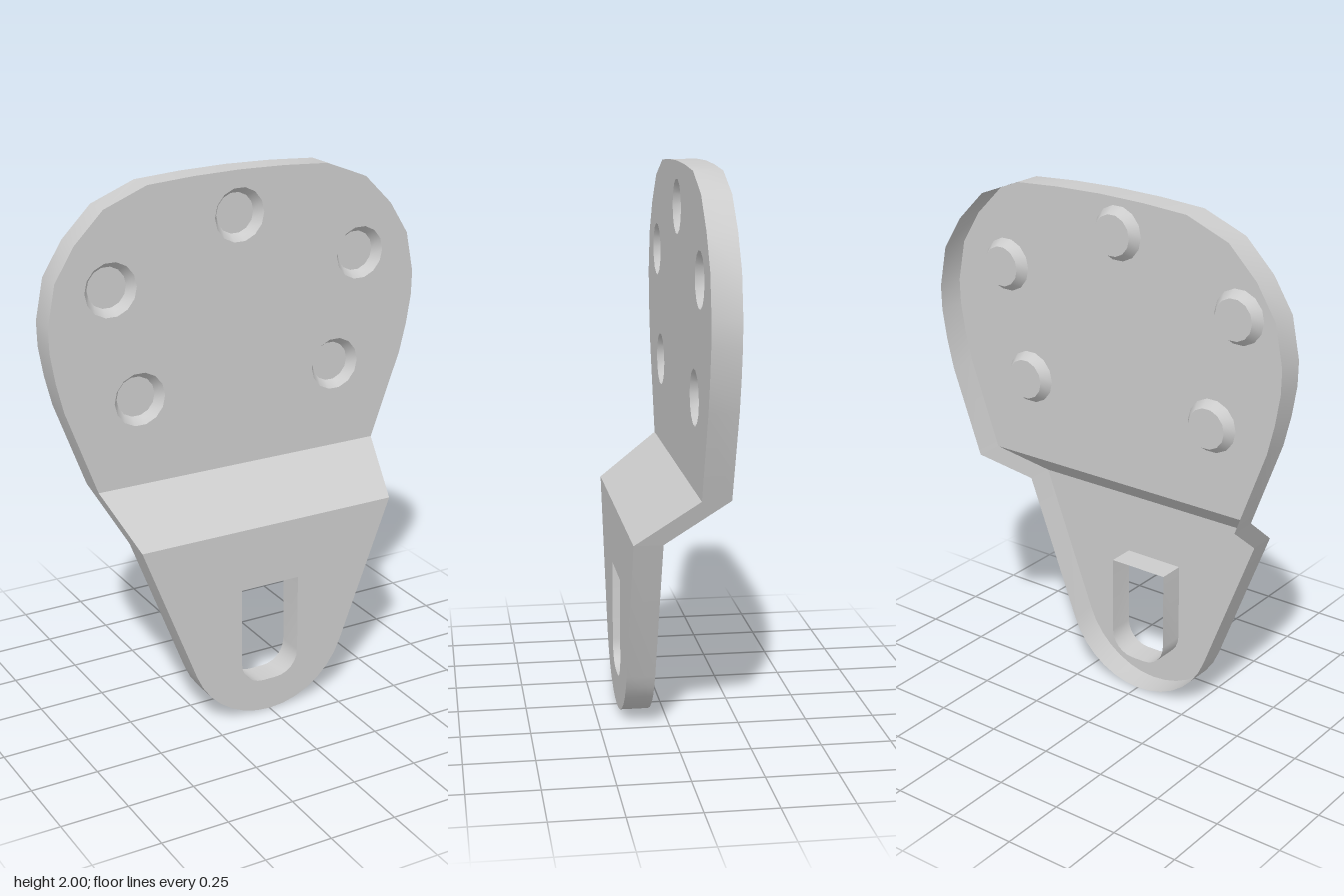
import * as THREE from 'three';
import { toCreasedNormals } from 'three/addons/utils/BufferGeometryUtils.js';

const DEPTH = 0.102, DIMPLE = 0.036, R_OUT = 0.098, R_IN = 0.074, SIDES = 14;
const LOW = 0.75, HIGH = 0.91, Z_LOW = 0.162, Z_HIGH = -0.06;

const material = new THREE.MeshStandardMaterial({ color: 0xcccccc, side: THREE.DoubleSide });
const V = (x, y) => new THREE.Vector2(x, y);

// Depth of the front sheet: two flat levels joined by a slope
const sheetZ = (y) => {
  const t = THREE.MathUtils.clamp((y - LOW) / (HIGH - LOW), 0, 1);
  return THREE.MathUtils.lerp(Z_LOW, Z_HIGH, t);
};

function arc(cx, cy, r, from, to, n) {
  return Array.from({ length: n + 1 }, (_, i) => {
    const a = THREE.MathUtils.degToRad(from + ((to - from) * i) / n);
    return V(cx + r * Math.cos(a), cy + r * Math.sin(a));
  });
}

const mirrored = (points) => points.map((p) => V(-p.x, p.y)).reverse();

export function createModel() {
  const group = new THREE.Group();
  const add = (name, geometry) => {
    const mesh = new THREE.Mesh(geometry, material);
    mesh.name = name;
    group.add(mesh);
    return mesh;
  };

  // Flat outline piece laid onto the stepped sheet
  const addSheet = (name, points, holes = []) => {
    const shape = new THREE.Shape(points);
    shape.holes = holes.map((h) => new THREE.Path(h));
    const geo = new THREE.ShapeGeometry(shape);
    const pos = geo.attributes.position;
    for (let i = 0; i < pos.count; i++) pos.setZ(i, sheetZ(pos.getY(i)));
    geo.computeVertexNormals();
    add(name, geo);
  };

  // Wall running back from the sheet along a line of points
  const addWall = (name, points) => {
    const pos = [], index = [];
    points.forEach((p, i) => {
      const z = sheetZ(p.y);
      pos.push(p.x, p.y, z, p.x, p.y, z - DEPTH);
      if (i) {
        const a = 2 * i - 2;
        index.push(a, a + 1, a + 2, a + 2, a + 1, a + 3);
      }
    });
    const geo = new THREE.BufferGeometry();
    geo.setAttribute('position', new THREE.Float32BufferAttribute(pos, 3));
    geo.setIndex(index);
    add(name, toCreasedNormals(geo, 0.7));
  };

  // Right half of the outline, from the bottom up
  const lowerSide = [...arc(0, 0.325, 0.325, -90, -20.3, 7), V(0.512, LOW)];
  const slopeSide = [V(0.512, LOW), V(0.57, HIGH)];
  const upperSide = [
    V(0.57, HIGH), V(0.688, 1.23), V(0.715, 1.34), V(0.733, 1.45), V(0.735, 1.54),
    V(0.705, 1.69), V(0.63, 1.81), V(0.52, 1.92), V(0.355, 1.985), V(0.18, 1.996), V(0, 2),
  ];
  const closed = (side) => [...side, ...mirrored(side)].filter(
    (p, i, all) => i === 0 || p.distanceTo(all[i - 1]) > 1e-5);
  const loop = (side) => {
    const pts = closed(side);
    if (pts[0].distanceTo(pts[pts.length - 1]) < 1e-5) pts.pop();
    return pts;
  };

  // Slot with a rounded lower end
  const slotSide = [...arc(0.028, 0.215, 0.09, -90, 0, 6), V(0.118, 0.515)];
  const slot = loop(slotSide);

  // Dimple centres and rims
  const centres = [[0, 1.84], [0.5, 1.64], [-0.5, 1.64], [0.4, 1.23], [-0.4, 1.23]];
  const rims = centres.map(([x, y]) => arc(x, y, R_OUT, 0, 360, SIDES).slice(0, -1));

  addSheet('lowerPlate', loop(lowerSide), [slot]);
  addSheet('slopedStep', loop(slopeSide));
  addSheet('upperPlate', loop(upperSide), rims);

  addWall('lowerRim', [...mirrored(lowerSide), ...lowerSide.slice(1)]);
  addWall('stepRim', slopeSide);
  addWall('stepRim', mirrored(slopeSide));
  addWall('upperRim', [...upperSide, ...mirrored(upperSide).slice(1)]);
  addWall('slotWall', [...slot, slot[0]]);

  // Sunken dimples: a tapered wall and a flat floor
  for (const [x, y] of centres) {
    const wall = new THREE.CylinderGeometry(R_OUT, R_IN, DIMPLE, SIDES, 1, true);
    wall.rotateY(Math.PI / 2).rotateX(Math.PI / 2);
    // turn the faces inward
    const index = wall.index.array;
    for (let i = 0; i < index.length; i += 3) [index[i], index[i + 1]] = [index[i + 1], index[i]];
    wall.computeVertexNormals();
    add('dimpleWall', toCreasedNormals(wall, 0.7)).position.set(x, y, Z_HIGH - DIMPLE / 2);
    add('dimpleFloor', new THREE.CircleGeometry(R_IN, SIDES)).position.set(x, y, Z_HIGH - DIMPLE);
  }
  return group;
}
